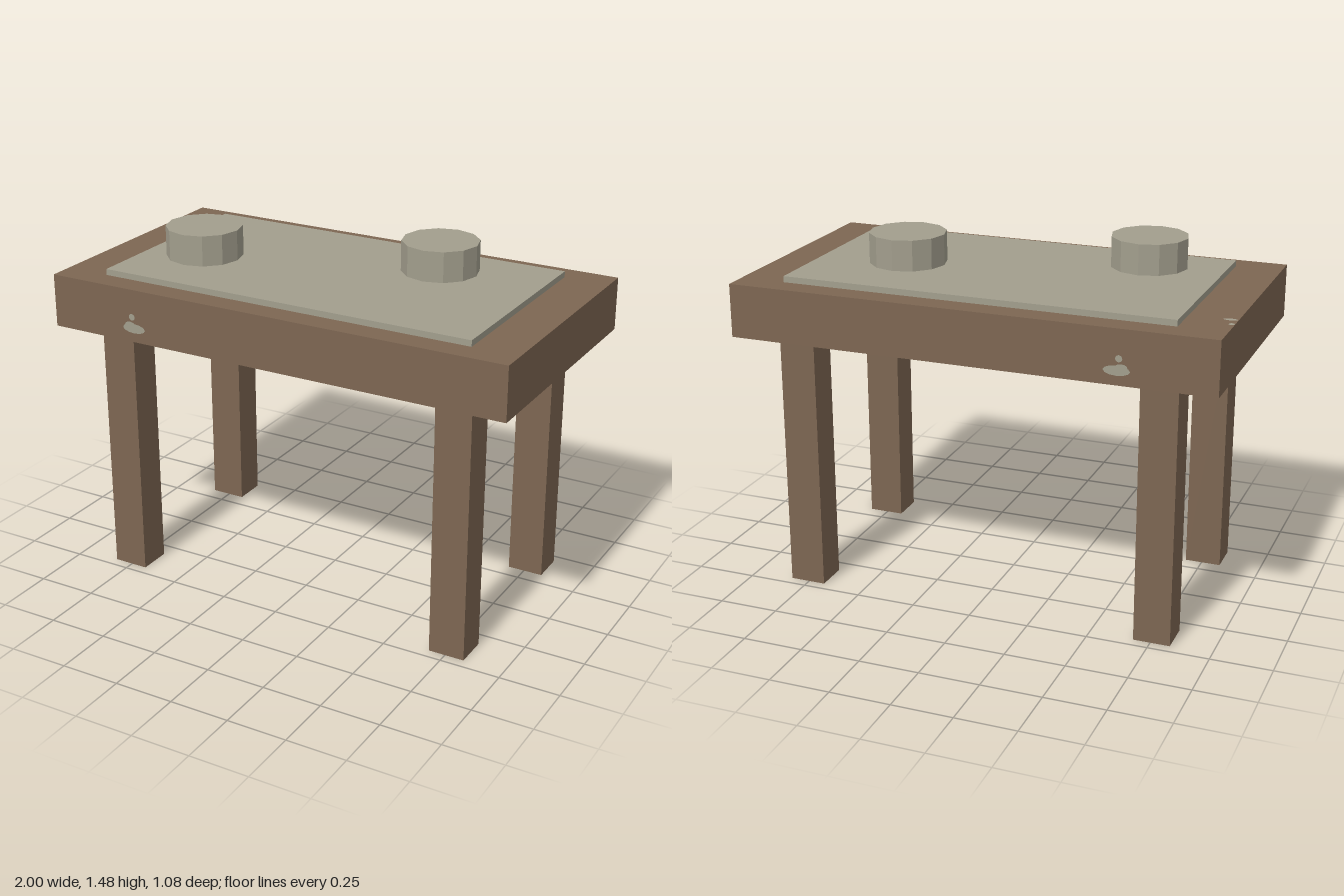
import * as THREE from 'three';

export function createModel() {
  const table = new THREE.Group();
  table.name = 'table';

  const wood = new THREE.MeshStandardMaterial({ color: 0x7d6652 });
  wood.name = 'brown wood';
  const stone = new THREE.MeshStandardMaterial({ color: 0xa29e8d });
  stone.name = 'warm grey';

  const add = (name, geometry, material, x, y, z) => {
    const mesh = new THREE.Mesh(geometry, material);
    mesh.name = name;
    mesh.position.set(x, y, z);
    table.add(mesh);
    return mesh;
  };

  // Thick top and the thin panel lying on it
  add('tableTop', new THREE.BoxGeometry(2, 0.22, 1.08), wood, 0, 1.19, 0);
  add('topPanel', new THREE.BoxGeometry(1.62, 0.025, 0.88), stone, 0, 1.3125, 0);

  // Four square legs
  const legGeometry = new THREE.BoxGeometry(0.15, 1.08, 0.14);
  for (const [side, x] of [['Left', 0.755], ['Right', -0.755]]) {
    for (const [end, z] of [['front', 0.387], ['back', -0.387]]) {
      add(`${end}${side}Leg`, legGeometry, wood, x, 0.54, z);
    }
  }

  // Two twelve-sided discs hovering just above the panel
  const discGeometry = new THREE.CylinderGeometry(0.157, 0.157, 0.125, 12).toNonIndexed();
  discGeometry.computeVertexNormals();
  add('rightDisc', discGeometry, stone, -0.525, 1.4125, 0.15);
  add('leftDisc', discGeometry, stone, 0.4, 1.4125, -0.14);

  // Small worn flecks on the front and back of the top
  const fleck = (rx, ry) => new THREE.CircleGeometry(1, 12).scale(rx, ry, 1);
  for (const [end, z, turn] of [['front', 0.541, 0], ['back', -0.541, Math.PI]]) {
    for (const [x, y, rx, ry] of [[-0.612, 1.138, 0.053, 0.02], [-0.63, 1.15, 0.025, 0.015], [-0.62, 1.185, 0.014, 0.014]]) {
      add(`${end}Fleck`, fleck(rx, ry), stone, x, y, z).rotation.y = turn;
    }
  }

  // Flecks at the right edge of the upper face
  for (const [x, z, rx, rz] of [[-0.97, -0.288, 0.028, 0.012], [-0.988, -0.343, 0.012, 0.012]]) {
    add('topFleck', fleck(rx, rz), stone, x, 1.301, z).rotation.x = -Math.PI / 2;
  }

  return table;
}
